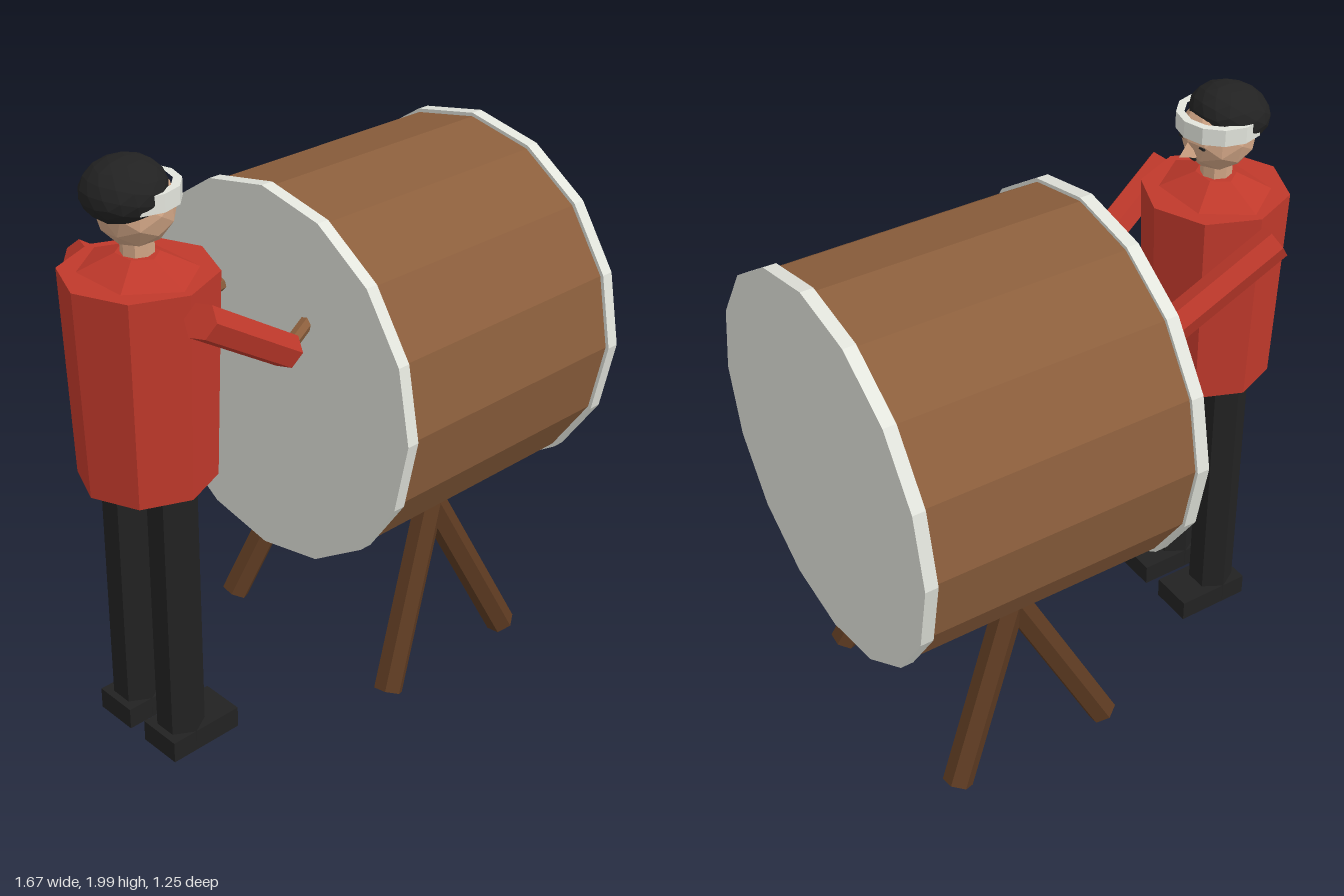
import * as THREE from 'three';

const paint = (name, color) => {
  const m = new THREE.MeshStandardMaterial({ color, flatShading: true });
  m.name = name;
  return m;
};

export function createModel() {
  const red = paint('red coat', 0xc0392b);
  const black = paint('black cloth', 0x222222);
  const skin = paint('skin', 0xd2a686);
  const pale = paint('pale hide', 0xe2e4dc);
  const wood = paint('drum wood', 0x8b5e3c);
  const darkWood = paint('dark wood', 0x5c3a21);

  const model = new THREE.Group();
  model.name = 'drummer';

  const add = (name, geometry, material, x, y, z, parent = model) => {
    const mesh = new THREE.Mesh(geometry, material);
    mesh.name = name;
    mesh.position.set(x, y, z);
    parent.add(mesh);
    return mesh;
  };

  // Straight bar between two points
  const bar = (name, a, b, radius, sides, material, parent) => {
    const from = new THREE.Vector3(...a), to = new THREE.Vector3(...b);
    const dir = to.clone().sub(from);
    const mid = from.clone().add(to).multiplyScalar(0.5);
    const mesh = add(name, new THREE.CylinderGeometry(radius, radius, dir.length(), sides),
      material, mid.x, mid.y, mid.z, parent);
    mesh.quaternion.setFromUnitVectors(new THREE.Vector3(0, 1, 0), dir.normalize());
    return mesh;
  };

  // Drum lying along x, with a pale head and rim at each end
  const drum = new THREE.Group();
  drum.name = 'drum';
  drum.position.set(0.35, 1.153, 0);
  model.add(drum);
  const disc = (name, radius, length, material, x) => {
    add(name, new THREE.CylinderGeometry(radius, radius, length, 16), material, x, 0, 0, drum)
      .rotation.z = Math.PI / 2;
  };
  disc('drumBody', 0.615, 0.9, wood, 0);
  disc('drumHeadBack', 0.627, 0.042, pale, -0.461);
  disc('drumHeadFront', 0.627, 0.042, pale, 0.461);

  // Stand: one splayed pair of legs on each side
  for (const side of [-1, 1]) {
    for (const dir of [-1, 1]) {
      bar('standLeg', [0.35 + dir * 0.283, 0.03, side * 0.39],
        [0.35 - dir * 0.003, 0.622, side * 0.283], 0.05, 6, darkWood);
    }
  }

  // Drummer, facing +x
  const person = new THREE.Group();
  person.name = 'person';
  person.position.x = -0.6;
  model.add(person);

  add('torso', new THREE.CylinderGeometry(0.235, 0.213, 0.67, 8), red, 0, 1.32, 0, person);
  const collar = new THREE.CylinderGeometry(0.06, 0.165, 0.055, 6);
  collar.scale(1, 1, 1.25);
  add('shoulders', collar, red, 0, 1.682, 0, person);
  add('neck', new THREE.CylinderGeometry(0.05, 0.05, 0.11, 8), skin, 0, 1.72, 0, person);

  for (const side of [-1, 1]) {
    add('leg', new THREE.CylinderGeometry(0.077, 0.077, 0.95, 6), black, 0, 0.51, side * 0.113, person);
    add('shoe', new THREE.BoxGeometry(0.265, 0.075, 0.152), black, 0.042, 0.067, side * 0.113, person);
    bar('arm', [-0.015, 1.6, side * 0.288], [0.365, 1.352, side * 0.222], 0.056, 6, red, person);
    bar('drumstick', [0.33, 1.345, side * 0.232], [0.475, 1.397, side * 0.19], 0.022, 6, wood, person);
    add('eye', new THREE.BoxGeometry(0.008, 0.008, 0.034), black, 0.101, 1.843, side * 0.045, person);
  }

  // Head, nose, hair and headband
  const head = new THREE.Group();
  head.name = 'head';
  head.position.y = 1.85;
  person.add(head);
  add('face', new THREE.IcosahedronGeometry(0.118, 1), skin, 0, 0, 0, head);
  const nose = new THREE.ConeGeometry(0.036, 0.055, 4);
  nose.scale(1.1, 1, 0.85);
  add('nose', nose, skin, 0.108, -0.018, 0, head);
  add('mouth', new THREE.BoxGeometry(0.008, 0.007, 0.04), black, 0.1, -0.06, 0, head);

  const hair = new THREE.IcosahedronGeometry(1, 2);
  hair.scale(0.125, 0.09, 0.13);
  add('hair', hair, black, -0.038, 0.06, 0, head).rotation.z = 0.2;
  add('headband', new THREE.CylinderGeometry(0.134, 0.134, 0.054, 12, 1, true),
    pale, 0, 0.045, 0, head);
  // Flat upper and lower edges of the headband
  for (const dir of [-1, 1]) {
    add('headbandEdge', new THREE.RingGeometry(0.108, 0.134, 12), pale, 0, 0.045 + dir * 0.027, 0, head)
      .rotation.x = -dir * Math.PI / 2;
  }
  return model;
}
